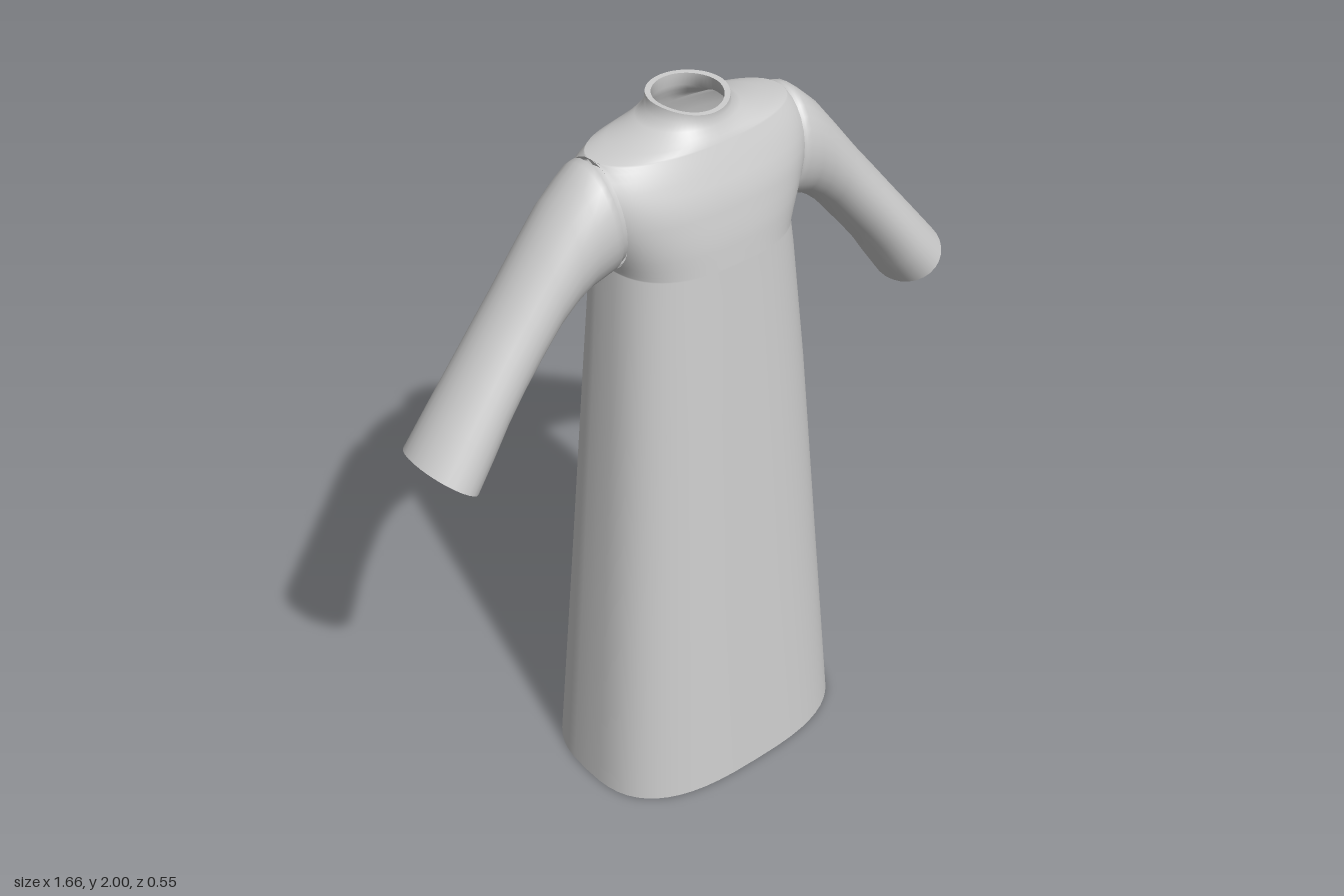
import * as THREE from 'three';
import { mergeVertices } from 'three/addons/utils/BufferGeometryUtils.js';

const cloth = new THREE.MeshStandardMaterial({ color: 0xcccccc });
cloth.name = 'plain cloth';
const THICKNESS = 0.014;

// Triangles of a grid of points; rows run up (or along), columns run around
function gridPositions(rows) {
  const out = [];
  for (let r = 0; r < rows.length - 1; r++) {
    for (let c = 0; c < rows[r].length - 1; c++) {
      const a = rows[r][c], b = rows[r][c + 1], ua = rows[r + 1][c], ub = rows[r + 1][c + 1];
      out.push(...a, ...ua, ...ub, ...a, ...ub, ...b);
    }
  }
  return out;
}

// Smooth cloth surface with an inner lining and a closed rim on each open edge
function clothShell(name, panels) {
  let outer = new THREE.BufferGeometry();
  outer.setAttribute('position', new THREE.Float32BufferAttribute(panels.flatMap(gridPositions), 3));
  outer = mergeVertices(outer, 1e-4);
  outer.computeVertexNormals();
  const p = outer.attributes.position, n = outer.attributes.normal, idx = outer.index.array;

  const inner = outer.clone();
  for (let i = 0; i < p.count; i++) {
    inner.attributes.position.setXYZ(i,
      p.getX(i) - n.getX(i) * THICKNESS,
      p.getY(i) - n.getY(i) * THICKNESS,
      p.getZ(i) - n.getZ(i) * THICKNESS);
  }
  inner.setIndex(Array.from(idx).reverse());
  inner.computeVertexNormals();

  // Edges used by one triangle only are open edges
  const edges = new Map();
  for (let i = 0; i < idx.length; i += 3) {
    for (let k = 0; k < 3; k++) edges.set(idx[i + k] + '_' + idx[i + (k + 1) % 3], [idx[i + k], idx[i + (k + 1) % 3]]);
  }
  const rimPoints = [];
  const at = (g, i) => new THREE.Vector3().fromBufferAttribute(g.attributes.position, i).toArray();
  for (const [a, b] of edges.values()) {
    if (edges.has(b + '_' + a)) continue;
    const A = at(outer, a), B = at(outer, b), A2 = at(inner, a), B2 = at(inner, b);
    rimPoints.push(...B, ...A, ...A2, ...B, ...A2, ...B2);
  }
  const rim = new THREE.BufferGeometry();
  rim.setAttribute('position', new THREE.Float32BufferAttribute(rimPoints, 3));
  rim.computeVertexNormals();

  const group = new THREE.Group();
  group.name = name;
  for (const [part, geometry] of [['Outside', outer], ['Lining', inner], ['Rim', rim]]) {
    const mesh = new THREE.Mesh(geometry, cloth);
    mesh.name = name + part;
    group.add(mesh);
  }
  return group;
}

// Robe sections: height, half width, front z, back z, middle z, roundness
const SECTIONS = [
  [0, 0.395, 0.272, -0.275, 0, 2.8],
  [0.6, 0.346, 0.234, -0.24, -0.005, 2.75],
  [1.2, 0.297, 0.197, -0.207, -0.012, 2.7],
  [1.55, 0.266, 0.175, -0.188, -0.025, 2.6],
  [1.62, 0.259, 0.171, -0.185, -0.03, 2.55],
  [1.7, 0.266, 0.164, -0.182, -0.03, 2.5],
  [1.8, 0.275, 0.145, -0.178, -0.03, 2.5],
  [1.87, 0.281, 0.117, -0.166, -0.03, 2.4],
  [1.92, 0.285, 0.095, -0.15, -0.03, 2.2],
  [1.93, 0.225, 0.09, -0.147, -0.03, 2.1],
  [1.94, 0.175, 0.084, -0.143, -0.03, 2],
  [1.955, 0.135, 0.077, -0.137, -0.03, 2],
  [1.97, 0.105, 0.071, -0.131, -0.03, 2],
  [2.0, 0.1, 0.072, -0.13, -0.03, 2],
];
const ARM_LOW = 1.62, ARM_HIGH = 1.92, ARM_DEPTH = 0.115;

function sectionAt(y) {
  const i = Math.max(1, SECTIONS.findIndex(s => s[0] >= y - 1e-9));
  const a = SECTIONS[i - 1], b = SECTIONS[i];
  const t = (y - a[0]) / (b[0] - a[0]);
  return a.map((v, k) => v + (b[k] - v) * t);
}

// Half of a robe section, front (+1) or back (-1), ending at the armhole edges
function halfSection(y, side) {
  const [, width, zf, zb, zc, n] = sectionAt(y);
  const depth = side > 0 ? zf - zc : zc - zb;
  const h = (y - (ARM_LOW + ARM_HIGH) / 2) / ((ARM_HIGH - ARM_LOW) / 2);
  const gap = ARM_DEPTH * Math.sqrt(Math.max(0, 1 - h * h));
  const halfWidth = width / Math.pow(1 - Math.pow(gap / depth, n), 1 / n);
  const end = Math.acos(Math.pow(gap / depth, n / 2));
  const row = [], steps = 14;
  for (let i = -steps; i <= steps; i++) {
    const t = (Math.abs(i) / steps) * end;
    const x = halfWidth * Math.pow(Math.sin(t), 2 / n) * -Math.sign(i) * side;
    const cz = Math.pow(Math.max(0, Math.cos(t)), 2 / n);
    // The collar dips at the front
    const dip = y > 1.99 && side > 0 ? 0.014 * cz * cz : 0;
    row.push([x, y - dip, zc + side * depth * cz]);
  }
  return row;
}

function makeRobe() {
  const heights = SECTIONS.map(s => s[0]).filter(y => y < ARM_LOW || y > ARM_HIGH);
  for (let i = 0; i <= 14; i++) {
    heights.push((ARM_LOW + ARM_HIGH) / 2 - Math.cos((i / 14) * Math.PI) * (ARM_HIGH - ARM_LOW) / 2);
  }
  heights.sort((a, b) => a - b);
  return clothShell('robeBody', [1, -1].map(side => heights.map(y => halfSection(y, side))));
}

// Sleeve rings: upper x, y, lower x, y, front z, back z
const SLEEVE = [
  [0.272, 1.905, 0.25, 1.632, 0.075, -0.135],
  [0.293, 1.905, 0.265, 1.632, 0.075, -0.137],
  [0.296, 1.919, 0.268, 1.62, 0.084, -0.147],
  [0.312, 1.915, 0.285, 1.615, 0.084, -0.146],
  [0.345, 1.888, 0.345, 1.597, 0.079, -0.143],
  [0.39, 1.846, 0.39, 1.565, 0.073, -0.141],
  [0.46, 1.76, 0.435, 1.525, 0.068, -0.139],
  [0.537, 1.662, 0.49, 1.46, 0.067, -0.138],
  [0.605, 1.58, 0.545, 1.394, 0.07, -0.138],
  [0.67, 1.5, 0.595, 1.33, 0.076, -0.139],
  [0.75, 1.403, 0.64, 1.262, 0.084, -0.141],
  [0.83, 1.305, 0.69, 1.19, 0.091, -0.142],
];

function makeSleeve(name, s) {
  const rows = SLEEVE.map(([ux, uy, lx, ly, zf, zb]) => {
    const row = [];
    for (let i = 0; i <= 28; i++) {
      const t = (i / 28) * Math.PI * 2, c = Math.cos(t);
      row.push([
        s * ((ux + lx) / 2 + c * (ux - lx) / 2),
        (uy + ly) / 2 + c * (uy - ly) / 2,
        (zf + zb) / 2 - s * Math.sin(t) * (zf - zb) / 2,
      ]);
    }
    return row;
  });
  return clothShell(name, [rows]);
}

export function createModel() {
  const model = new THREE.Group();
  model.name = 'longRobe';
  model.add(makeRobe(), makeSleeve('leftSleeve', 1), makeSleeve('rightSleeve', -1));
  return model;
}
